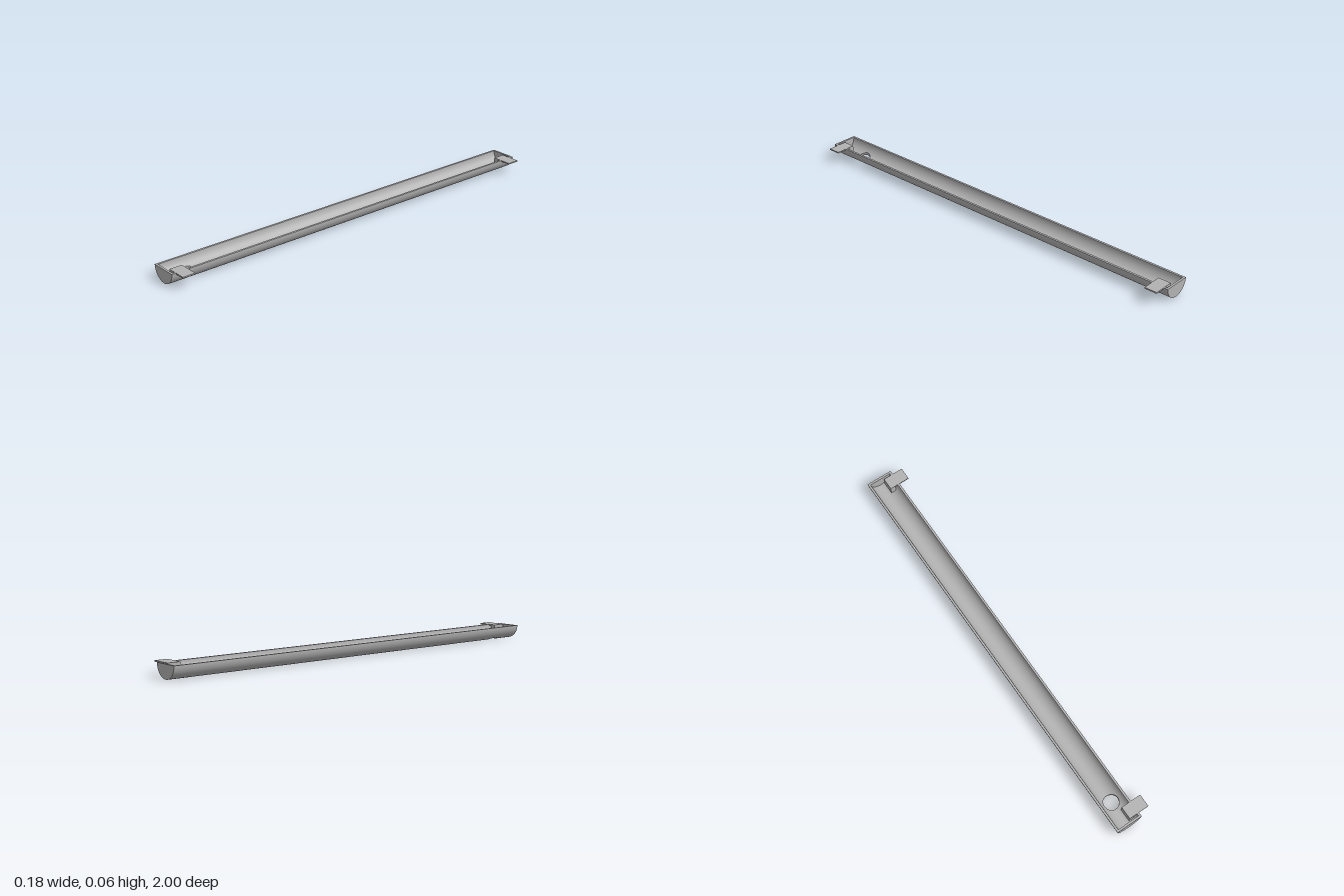
import * as THREE from 'three';
import { ParametricGeometry } from 'three/addons/geometries/ParametricGeometry.js';

const CX = -0.025, R = 0.0635, WALL = 0.01, RIN = R - WALL;
const HOLE_Z = 0.87, HOLE_R = 0.035;

// Angle around the trough (0 = straight down), with extra samples over the drain hole
function angleAt(u, r) {
  const edge = Math.asin(HOLE_R / r), side = Math.PI / 2 - edge;
  if (u < 1 / 3) return -Math.PI / 2 + side * u * 3;
  if (u > 2 / 3) return edge + side * (u * 3 - 2);
  return Math.asin((HOLE_R / r) * Math.sin((u * 3 - 1.5) * Math.PI));
}

// Half-cylinder sheet from zEnd up to the line z = HOLE_Z, cut away by the hole
function sheet(r, zEnd, inward) {
  const dir = Math.sign(zEnd - HOLE_Z);
  return new ParametricGeometry((u, v, p) => {
    const a = angleAt(inward ? 1 - u : u, r), dx = r * Math.sin(a);
    const zHole = HOLE_Z + dir * Math.sqrt(Math.max(0, HOLE_R ** 2 - dx * dx));
    const t = dir > 0 ? v : 1 - v;
    p.set(CX + dx, R - r * Math.cos(a), zHole + (zEnd - zHole) * t);
  }, 60, 1);
}

export function createModel() {
  const group = new THREE.Group();
  const grey = new THREE.MeshStandardMaterial({ color: 0xb2b2b2, side: THREE.DoubleSide });
  grey.name = 'grey';
  const add = (name, geometry, x = 0, y = 0, z = 0) => {
    const mesh = new THREE.Mesh(geometry, grey);
    mesh.name = name;
    mesh.position.set(x, y, z);
    group.add(mesh);
  };

  // Trough skins, outside and inside
  for (const end of [-1, 1]) {
    add('troughOutside', sheet(R, end, false));
    add('troughInside', sheet(RIN, end * (1 - WALL), true));
  }

  // Wall of the drain hole
  add('drainHoleWall', new ParametricGeometry((u, v, p) => {
    const t = u * Math.PI * 2, r = R - WALL * v, dx = HOLE_R * Math.cos(t);
    p.set(CX + dx, R - Math.sqrt(r * r - dx * dx), HOLE_Z + HOLE_R * Math.sin(t));
  }, 48, 1));

  // Flat rims along both long edges
  for (const side of [-1, 1]) {
    const rim = new THREE.PlaneGeometry(WALL, 2 - 2 * WALL).rotateX(-Math.PI / 2);
    add('rim', rim, CX + side * (R - WALL / 2), R);
  }

  // Half-round end caps
  const half = new THREE.Shape();
  half.absarc(0, 0, R, Math.PI, Math.PI * 2, false);
  half.closePath();
  for (const z of [-1, 1 - WALL]) {
    add('endCap', new THREE.ExtrudeGeometry(half, { depth: WALL, bevelEnabled: false, curveSegments: 48 }), CX, R, z);
  }

  // Mounting brackets: a flat tab over the rim and a block down to the trough
  for (const z of [-0.95, 0.95]) {
    add('bracketTab', new THREE.BoxGeometry(0.0985, 0.006, 0.06), 0.0393, R - 0.0025, z);
    add('bracketBlock', new THREE.BoxGeometry(0.026, 0.04, 0.06), 0.003, 0.04, z);
  }
  return group;
}
